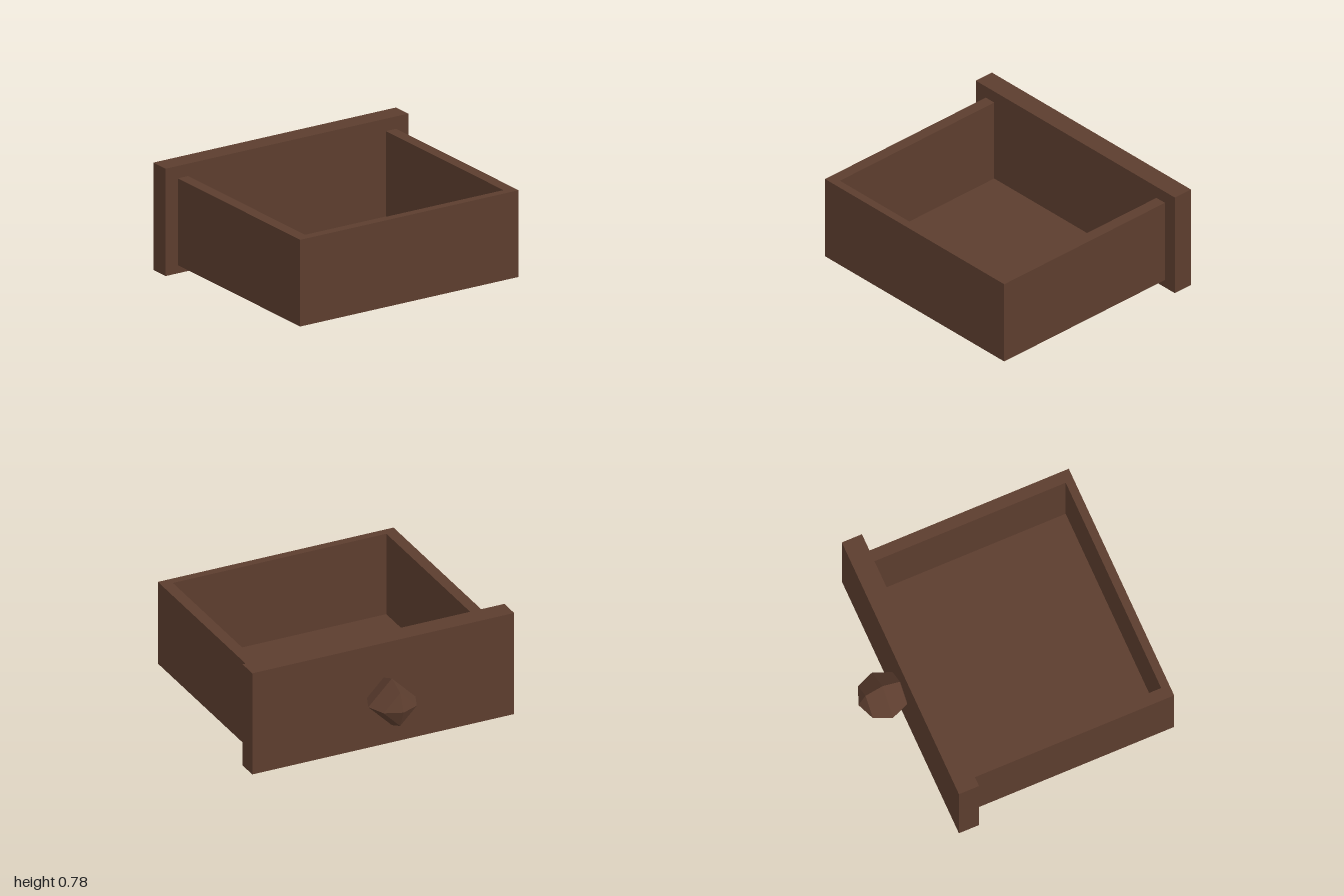
import * as THREE from 'three';

export function createModel() {
  const group = new THREE.Group();
  group.name = 'drawer';
  const wood = new THREE.MeshStandardMaterial({ color: 0x5c3d2e, flatShading: true });
  wood.name = 'dark wood';

  // Box given by its lower and upper limits on each axis
  function board(name, [x0, x1], [y0, y1], [z0, z1]) {
    const mesh = new THREE.Mesh(new THREE.BoxGeometry(x1 - x0, y1 - y0, z1 - z0), wood);
    mesh.position.set((x0 + x1) / 2, (y0 + y1) / 2, (z0 + z1) / 2);
    mesh.name = name;
    group.add(mesh);
  }

  const bottom = 0.06, rim = 0.69;
  const panelZ = -0.52, endZ = 0.98, innerEndZ = 0.92;
  const outer = 0.9, inner = 0.815;

  // Overhanging face panel that carries the knob
  board('facePanel', [-1, 1], [0, 0.78], [-0.67, panelZ]);

  // Tray: two sides, the far end and a thin floor
  board('leftSide', [inner, outer], [bottom, rim], [panelZ, endZ]);
  board('rightSide', [-outer, -inner], [bottom, rim], [panelZ, endZ]);
  board('endWall', [-inner, inner], [bottom, rim], [innerEndZ, endZ]);
  board('floor', [-inner, inner], [bottom, bottom + 0.01], [panelZ, innerEndZ]);

  // Faceted knob, its poles along z and partly sunk into the panel
  const knob = new THREE.Mesh(new THREE.SphereGeometry(0.18, 4, 4).rotateX(-Math.PI / 2), wood);
  knob.position.set(0, 0.39, -0.803);
  knob.name = 'knob';
  group.add(knob);

  return group;
}
